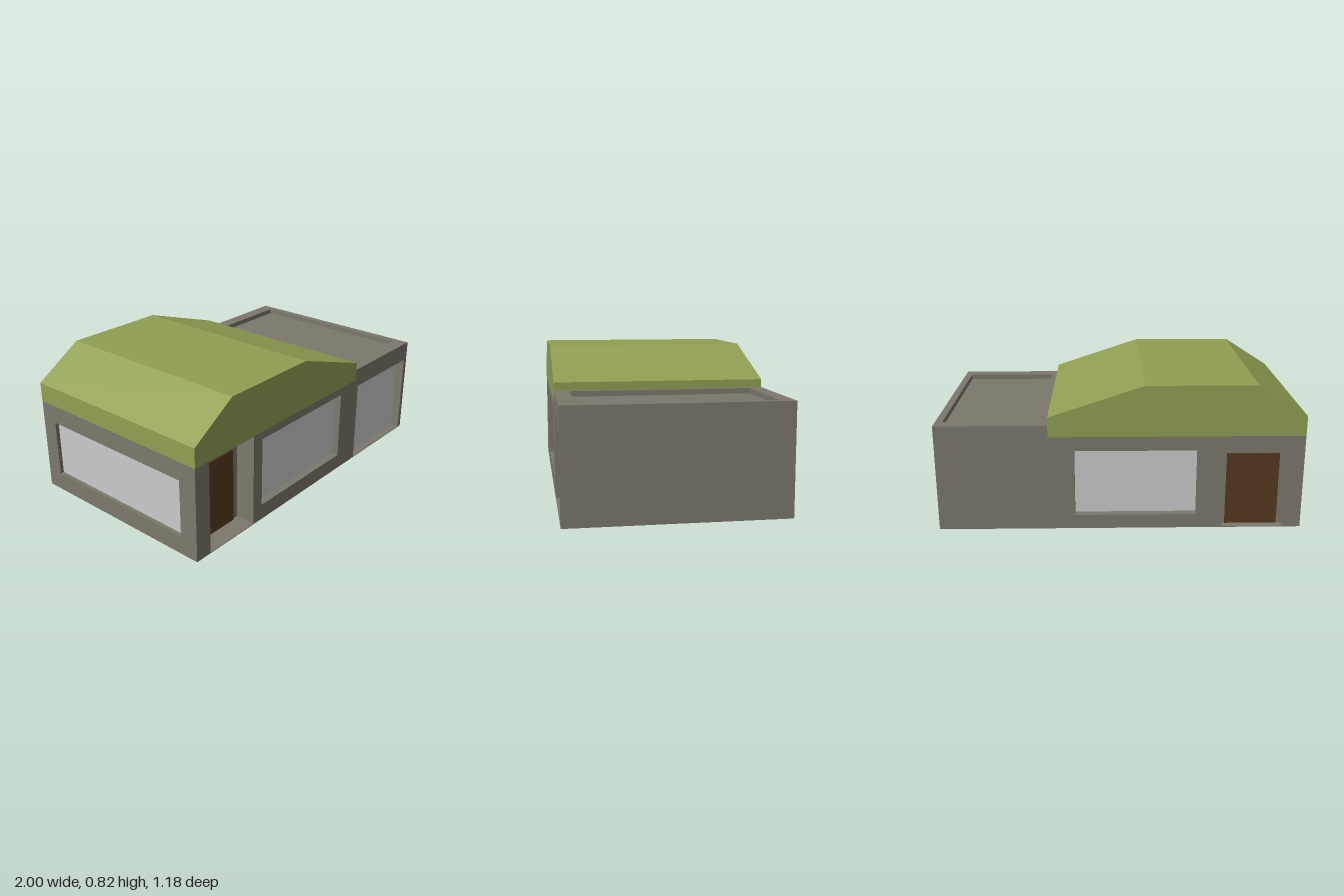
import * as THREE from 'three';

const D = 0.587;      // half depth of the house
const EAVE = 0.535;   // wall height under the roof
const FLOOR = 0.004;  // thin floor left in openings that reach the ground
const SKIN = 0.025;   // thickness of the left wall

const paint = (color) => new THREE.MeshStandardMaterial({ color, flatShading: true });

// Rectangle path given by its edges
function rect(Type, [x0, x1, y0, y1]) {
  const p = new Type();
  p.moveTo(x0, y0);
  p.lineTo(x1, y0);
  p.lineTo(x1, y1);
  p.lineTo(x0, y1);
  p.closePath();
  return p;
}

// Slab from z0 to z1 with rectangular openings
function slab(outline, openings, z0, z1) {
  const shape = rect(THREE.Shape, outline);
  openings.forEach((o) => shape.holes.push(rect(THREE.Path, o)));
  return new THREE.ExtrudeGeometry(shape, { depth: z1 - z0, bevelEnabled: false }).translate(0, 0, z0);
}

// Box given by its edges
function block([x0, x1, y0, y1], z0, z1) {
  return new THREE.BoxGeometry(x1 - x0, y1 - y0, z1 - z0)
    .translate((x0 + x1) / 2, (y0 + y1) / 2, (z0 + z1) / 2);
}

export function createModel() {
  const house = new THREE.Group();
  house.name = 'house';
  const wall = paint(0x7c786d);
  const pane = paint(0xcccccc);
  const wood = paint(0x57391e);
  const green = paint(0x909f52);

  const add = (name, geometry, material) => {
    const mesh = new THREE.Mesh(geometry, material);
    mesh.name = name;
    house.add(mesh);
  };

  // Openings as [left, right, bottom, top]
  const porch = [-0.9, -0.56, FLOOR, EAVE - 0.002];
  const frontWindow = [-0.49, 0.24, 0.09, 0.49];
  const garage = [0.42, 0.97, FLOOR, 0.487];
  const backWindow = [-0.42, 0.25, 0.08, 0.455];
  const sideWindow = [-0.488, 0.478, 0.105, 0.43];

  // Solid core and the pierced walls around it
  const frontInner = D - 0.115;
  const backInner = -D + 0.05;
  const span = [-1 + SKIN, 1, 0, EAVE];
  add('core', block(span, backInner, frontInner), wall);
  add('frontWall', slab(span, [porch, frontWindow, garage], frontInner, D), wall);
  add('backWall', slab(span, [porch, backWindow], -D, backInner), wall);
  add('leftWall', slab([-D, D, 0, EAVE], [sideWindow], 1 - SKIN, 1).rotateY(-Math.PI / 2), wall);

  // Window panes and garage door set back in their openings
  add('frontWindowPane', block(frontWindow, frontInner, D - 0.04), pane);
  add('garageDoor', block(garage, frontInner, D - 0.05), pane);
  add('backWindowPane', block(backWindow, backInner - 0.005, backInner), pane);
  add('leftWindowPane', block(sideWindow, 1 - SKIN, 1 - SKIN + 0.003).rotateY(-Math.PI / 2), pane);

  // Wooden doors at the back of the two porches
  add('frontDoor', block([-0.87, -0.6, FLOOR, 0.435], frontInner, frontInner + 0.008), wood);
  add('backDoor', block([-0.875, -0.585, FLOOR, 0.42], backInner - 0.006, backInner), wood);

  // Flat garage roof sunk inside a raised rim
  add('garageRim', slab([0.38, 1, -D, D], [[0.43, 0.96, -0.502, 0.51]], EAVE, 0.6)
    .rotateX(-Math.PI / 2), wall);
  add('garageRoof', block([0.42, 0.97, EAVE, 0.57], -0.52, 0.52), wall);

  // Main roof, one profile along the full depth
  const profile = [[-1, EAVE], [0.39, EAVE], [0.39, 0.645], [-0.13, 0.817], [-0.73, 0.817], [-1, 0.645]];
  const roof = new THREE.Shape(profile.map(([x, y]) => new THREE.Vector2(x, y)));
  add('mainRoof', new THREE.ExtrudeGeometry(roof, { depth: 2 * D + 0.002, bevelEnabled: false })
    .translate(0, 0, -D - 0.001), green);

  return house;
}
